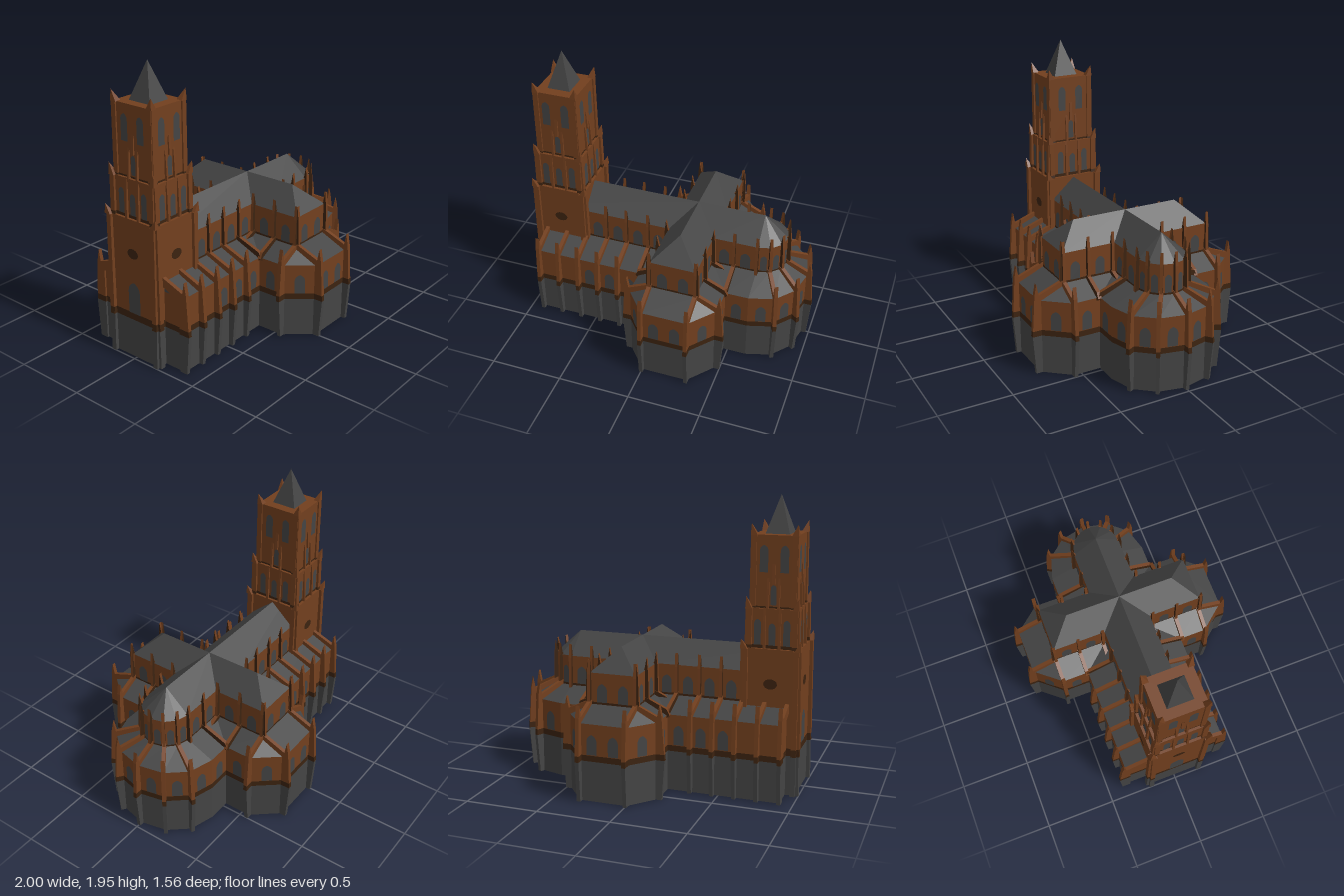
import * as THREE from 'three';

const mat = (name, color) => {
  const m = new THREE.MeshStandardMaterial({ color, side: THREE.DoubleSide });
  m.name = name;
  return m;
};

export function createModel() {
  const model = new THREE.Group();
  model.name = 'cathedral';
  const brick = mat('brick', 0x723f1e);
  const shade = mat('darkBrick', 0x3c2310);
  const slate = mat('slate', 0x444444);

  const add = (name, geo, material) => {
    const mesh = new THREE.Mesh(geo, material);
    mesh.name = name;
    model.add(mesh);
    return mesh;
  };

  // Open shell between two matching closed outlines of [x, z] points
  const band = (name, low, y0, high, y1, material) => {
    const pos = [];
    low.forEach((a, i) => {
      const j = (i + 1) % low.length;
      const A = [a[0], y0, a[1]], B = [low[j][0], y0, low[j][1]];
      const C = [high[j][0], y1, high[j][1]], D = [high[i][0], y1, high[i][1]];
      const same = (p, q) => Math.hypot(p[0] - q[0], p[2] - q[2]) < 1e-6;
      if (!same(A, B)) pos.push(...A, ...B, ...C);
      if (!same(C, D)) pos.push(...A, ...C, ...D);
    });
    const geo = new THREE.BufferGeometry();
    geo.setAttribute('position', new THREE.Float32BufferAttribute(pos, 3));
    geo.computeVertexNormals();
    return add(name, geo, material);
  };
  // Full outline from a half that ends on the axis
  const mirrored = (half) => [...half, ...half.slice(0, -1).reverse().map(([x, z]) => [x, -z])];

  // Upright slab: profile of (distance outward, height), facing direction (nx, nz)
  const slab = (name, profile, thick, x, z, nx, nz, material) => {
    const shape = new THREE.Shape(profile.map((p) => new THREE.Vector2(...p)));
    const geo = new THREE.ExtrudeGeometry(shape, { depth: thick, bevelEnabled: false });
    geo.translate(0, 0, -thick / 2);
    const mesh = add(name, geo, material);
    mesh.position.set(x, 0, z);
    mesh.rotation.y = Math.atan2(-nz, nx);
  };

  // Pointed-arch pane on a wall facing (nx, nz)
  const lancet = (x, z, nx, nz, y, w, h) => {
    const s = new THREE.Shape();
    s.moveTo(-w / 2, 0);
    s.lineTo(w / 2, 0);
    s.lineTo(w / 2, h - w * 0.7);
    s.quadraticCurveTo(w / 2, h - w * 0.2, 0, h);
    s.quadraticCurveTo(-w / 2, h - w * 0.2, -w / 2, h - w * 0.7);
    const pane = add('window', new THREE.ShapeGeometry(s, 5), slate);
    pane.position.set(x + nx * 0.004, y, z + nz * 0.004);
    pane.rotation.y = Math.atan2(nx, nz);
  };
  // Windows at fractions ts along the wall from a to b, on both sides of the axis
  const wallWindows = (a, b, ts, y, w, h) => {
    const dx = b[0] - a[0], dz = b[1] - a[1], len = Math.hypot(dx, dz);
    for (const t of ts) for (const s of [1, -1])
      lancet(a[0] + dx * t, s * (a[1] + dz * t), -dz / len, (s * dx) / len, y, w, h);
  };

  // Matching half outlines: aisle wall, upper wall, ridge
  const outer = [[-0.91, 0.36], [-0.15, 0.36], [-0.15, 0.55], [0, 0.73], [0.32, 0.73], [0.47, 0.55],
    [0.47, 0.36], [0.63, 0.36], [0.8, 0.31], [0.91, 0.18], [0.95, 0]];
  const inner = [[-0.91, 0.17], [0, 0.17], [0, 0.55], [0, 0.55], [0.32, 0.55], [0.32, 0.55],
    [0.32, 0.17], [0.63, 0.17], [0.715, 0.147], [0.777, 0.085], [0.8, 0]];
  const ridge = [[-0.91, 0], [0.16, 0], [0.16, 0.39], [0.16, 0.39], [0.16, 0.39], [0.16, 0.39],
    [0.16, 0], [0.63, 0], [0.63, 0], [0.63, 0], [0.63, 0]];
  const O = mirrored(outer), I = mirrored(inner);
  band('plinth', O, 0, O, 0.27, slate);
  band('plinthCourse', O, 0.27, O, 0.31, shade);
  band('aisleWalls', O, 0.31, O, 0.52, brick);
  band('aisleRoof', O, 0.52, I, 0.6, slate);
  band('upperCourse', I, 0.6, I, 0.615, shade);
  band('upperWalls', I, 0.615, I, 0.81, brick);
  band('mainRoof', I, 0.81, mirrored(ridge), 0.96, slate);

  // Aisle windows
  const low = [0.315, 0.07, 0.135], up = [0.615, 0.07, 0.125];
  wallWindows(outer[0], outer[1], [0.5, 0.7, 0.9], ...low);
  wallWindows(outer[3], outer[4], [0.27, 0.73], ...low);
  for (const i of [1, 2, 4, 5, 6, 7, 8, 9]) wallWindows(outer[i], outer[i + 1], [0.5], ...low);
  // Upper windows
  wallWindows([-0.6, 0.17], inner[1], [0.12, 0.37, 0.62, 0.87], ...up);
  wallWindows(inner[1], inner[2], [0.29, 0.77], ...up);
  wallWindows(inner[3], inner[4], [0.27, 0.73], ...up);
  wallWindows(inner[5], inner[6], [0.23, 0.71], ...up);
  wallWindows(inner[6], inner[7], [0.26, 0.74], ...up);
  for (let i = 7; i < 10; i++) wallWindows(inner[i], inner[i + 1], [0.5], 0.615, 0.045, 0.125);

  // Buttress from upper wall q to aisle wall p: pinnacle, sloping fin and outer pier
  const darkSides = [shade, brick];
  const pinnacle = [[-0.01, 0.58], [0.026, 0.58], [0.02, 0.8], [0.01, 0.895], [-0.004, 0.82], [-0.01, 0.82]];
  const buttress = (q, p, pier, hasPinnacle = true) => {
    const L = Math.hypot(p[0] - q[0], p[1] - q[1]);
    for (const s of p[1] === 0 ? [1] : [1, -1]) {
      const at = [q[0], s * q[1], (p[0] - q[0]) / L, (s * (p[1] - q[1])) / L];
      if (hasPinnacle) slab('upperPinnacle', pinnacle, 0.02, ...at, darkSides);
      if (!pier) {
        slab('roofFin', [[0, 0.57], [L, 0.5], [L + 0.02, 0.52], [L, 0.56], [0, 0.63]], 0.026, ...at, darkSides);
        continue;
      }
      slab('buttress', [[0, 0.57], [L - 0.03, 0.5], [L - 0.03, 0.31], [L + 0.047, 0.31], [L + 0.034, 0.5],
        [L + 0.03, 0.56], [L + 0.015, 0.64], [L, 0.56], [0, 0.63]], 0.026, ...at, brick);
      slab('buttressCourse', [[L - 0.03, 0.27], [L + 0.05, 0.27], [L + 0.047, 0.31], [L - 0.03, 0.31]], 0.026, ...at, shade);
      slab('buttressFoot', [[L - 0.03, 0], [L + 0.03, 0], [L + 0.05, 0.27], [L - 0.03, 0.27]], 0.026, ...at, slate);
    }
  };
  for (const x of [-0.91, -0.76, -0.61, -0.46, -0.31]) buttress([x, 0.17], [x, 0.36], true, x > -0.6);
  for (const [x, e] of [[0, -0.15], [0.32, 0.47]]) {
    buttress([e, 0.17], [e, 0.36], false);
    buttress([x, 0.19], [e, 0.19], false);
    buttress([x, 0.37], [e, 0.37], false);
    buttress([x, 0.55], [e, 0.55], true);
    buttress([x, 0.55], [x, 0.73], true);
  }
  for (const i of [8, 9, 10]) buttress(inner[i], outer[i], true);
  for (const s of [1, -1]) slab('choirPinnacle', pinnacle, 0.02, 0.63, s * 0.17, 0, s, darkSides);

  // Tower, slightly deeper than wide
  const cx = -0.795, deep = 1.1;
  const square = (h) => [[1, 1], [1, -1], [-1, -1], [-1, 1]].map(([a, b]) => [cx + a * h, b * h * deep]);
  const sides = [[1, 0], [-1, 0], [0, 1], [0, -1]];
  // Point on a tower face at half-width h, moved sideways by o, with the face direction
  const onFace = (nx, nz, h, o) => [cx + nx * h + nz * o, nz * h * deep + nx * o, nx, nz];
  const cornerPiers = (name, h, y0, y1, reach, material) => {
    for (const [nx, nz] of sides) for (const k of [1, -1])
      slab(name, [[-0.02, y0], [reach, y0], [reach * 0.8, y1], [-0.02, y1]], 0.035,
        ...onFace(nx, nz, h, k * (h * (nx ? deep : 1) - 0.012)), material);
  };
  const stage = (h, y0, y1, reach, tip, course) => {
    const yc = y0 + course;
    band('towerCourse', square(h), y0, square(h), yc, shade);
    band('towerStage', square(h), yc, square(h), y1, brick);
    const deck = add('towerDeck', new THREE.BoxGeometry(h * 2, 0.006, h * 2 * deep), brick);
    deck.position.set(cx, y1, 0);
    cornerPiers('pierCourse', h, y0, yc, reach, shade);
    cornerPiers('towerPier', h, yc, y1, reach, brick);
    // Corner spikes leaning to the outer edge
    for (const [a, b] of square(1)) {
      const sx = Math.sign(a - cx), sz = Math.sign(b);
      const geo = new THREE.ConeGeometry(0.032, tip - y1, 4).toNonIndexed();
      geo.rotateY(Math.PI / 4);
      const p = geo.attributes.position;
      for (let i = 0; i < p.count; i++) if (p.getY(i) > 0) p.setXYZ(i, sx * 0.018, p.getY(i), sz * 0.018);
      geo.computeVertexNormals();
      const spike = add('towerPinnacle', geo, brick);
      const edge = h + reach * 0.8 - 0.022;
      spike.position.set(cx + sx * edge, (y1 + tip) / 2, sz * (edge + h * (deep - 1)));
    }
  };
  band('towerPlinth', square(0.18), 0, square(0.18), 0.27, slate);
  cornerPiers('towerPierFoot', 0.18, 0, 0.27, 0.025, slate);
  stage(0.18, 0.27, 0.97, 0.025, 1.035, 0.05);
  stage(0.162, 0.97, 1.23, 0.018, 1.31, 0.025);
  stage(0.145, 1.23, 1.7, 0.012, 1.775, 0.015);

  for (const [nx, nz] of sides) {
    const at = (h, o) => onFace(nx, nz, h, o);
    // Belfry and middle stage openings between pilasters
    for (const k of [1, -1]) {
      lancet(...at(0.145, k * 0.067), 1.465, 0.055, 0.175);
      lancet(...at(0.162, k * 0.096), 0.995, 0.045, 0.17);
      slab('middlePilaster', [[0, 0.97], [0.018, 0.97], [0.012, 1.15], [0.006, 1.24], [0, 1.2]], 0.016, ...at(0.162, k * 0.05), brick);
      slab('belfryPilaster', [[0, 1.23], [0.018, 1.23], [0.012, 1.36], [0.006, 1.43], [0, 1.4]], 0.014, ...at(0.145, k * 0.036), brick);
    }
    lancet(...at(0.162, 0), 0.995, 0.045, 0.145);
    lancet(...at(0.145, 0), 1.255, 0.038, 0.13);
    slab('belfryShaft', [[0, 1.39], [0.014, 1.39], [0.006, 1.52], [0, 1.5]], 0.02, ...at(0.145, 0), brick);
    // Oval panel on the lower stage
    const panel = add('ovalPanel', new THREE.CircleGeometry(0.046, 14), shade);
    const [px, pz] = at(0.184, 0);
    panel.position.set(px, 0.742, pz);
    panel.scale.y = 0.75;
    panel.rotation.y = Math.atan2(nx, nz);
  }
  lancet(...onFace(-1, 0, 0.18, 0), 0.32, 0.1, 0.22);

  // Spire
  const cone = new THREE.ConeGeometry(0.08 * Math.SQRT2, 0.25, 4).toNonIndexed();
  cone.rotateY(Math.PI / 4);
  cone.scale(1, 1, deep);
  cone.computeVertexNormals();
  add('spire', cone, slate).position.set(cx, 1.825, 0);
  return model;
}
